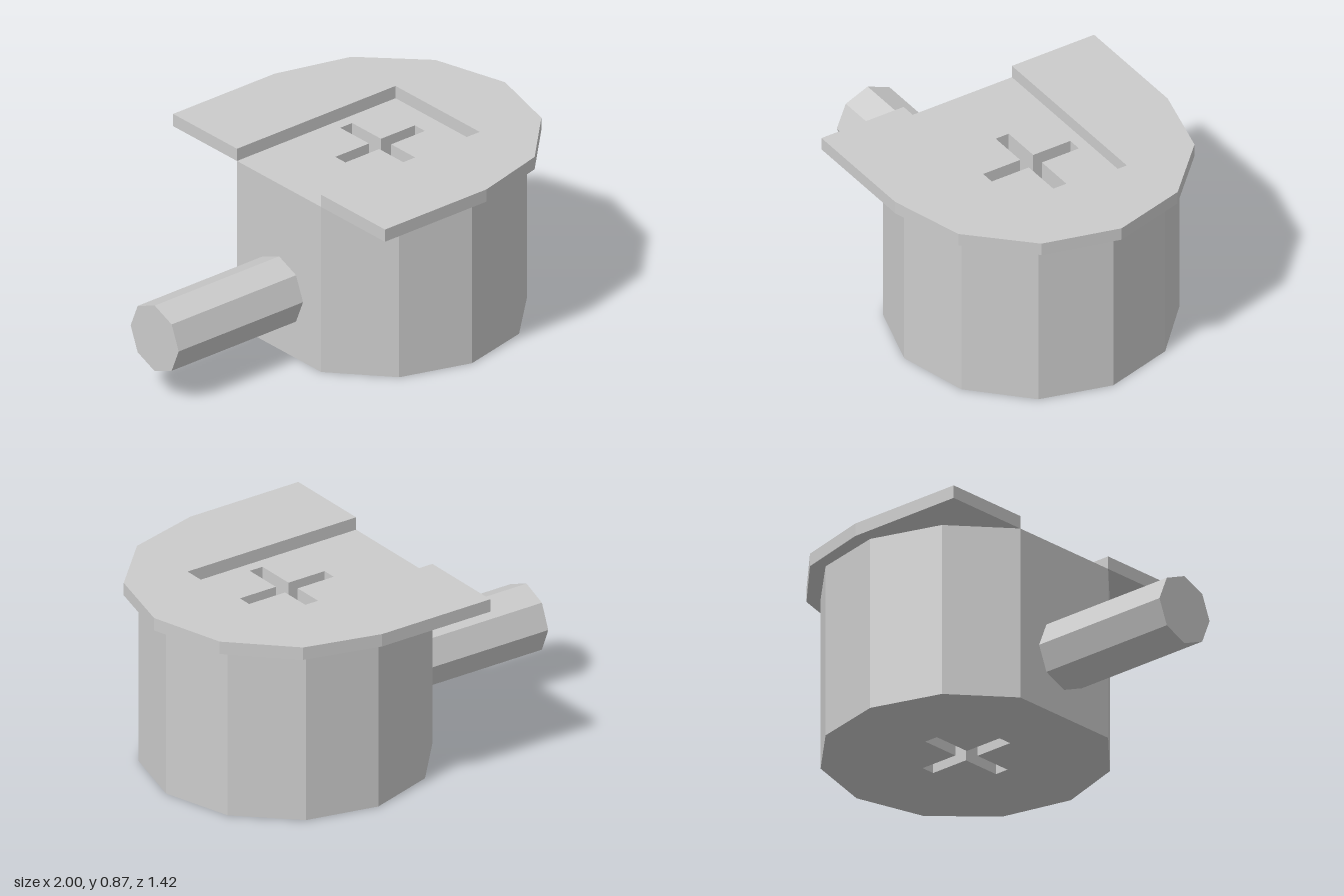
import * as THREE from 'three';

const CX = 0.29;      // centre of the round parts
const FLAT = -0.29;   // x of the flat side
const BODY_H = 0.81;
const PLATE_H = 0.06;

const material = new THREE.MeshStandardMaterial({ color: 0xcccccc, flatShading: true });

// Points on an arc around the body axis, from -half to +half
function arc(radius, half, segments) {
  return Array.from({ length: segments + 1 }, (_, i) => {
    const a = -half + (2 * half * i) / segments;
    return new THREE.Vector2(CX + radius * Math.cos(a), radius * Math.sin(a));
  });
}

// Plan outline raised into a slab standing on y = base
function slab(name, shape, base, height) {
  const geometry = new THREE.ExtrudeGeometry(shape, { depth: height, bevelEnabled: false });
  geometry.rotateX(-Math.PI / 2).translate(0, base, 0);
  const mesh = new THREE.Mesh(geometry, material);
  mesh.name = name;
  return mesh;
}

// Plus-shaped hole, long arm l and half width w
function crossHole(l, w) {
  const points = [];
  for (let i = 0; i < 4; i++) {
    for (const [x, y] of [[l, -w], [l, w], [w, w]]) {
      points.push(new THREE.Vector2(x, y)
        .rotateAround(new THREE.Vector2(), (i * Math.PI) / 2)
        .add(new THREE.Vector2(CX - 0.003, 0)));
    }
  }
  return new THREE.Path(points);
}

export function createModel() {
  const group = new THREE.Group();
  group.name = 'knob';

  // Faceted drum cut off by the flat side, pierced by the cross slot
  const r = 0.645;
  const drum = new THREE.Shape(arc(r, Math.acos((FLAT - CX) / r), 10));
  drum.holes.push(crossHole(0.227, 0.034));
  group.add(slab('body', drum, 0, BODY_H));

  // D-shaped rim plate with a rectangular channel open to the flat side
  const channelZ = 0.282, channelX = 0.615;
  const rim = new THREE.Shape([
    new THREE.Vector2(FLAT, -0.71),
    ...arc(0.71, Math.PI / 2, 6),
    new THREE.Vector2(FLAT, 0.71),
    new THREE.Vector2(FLAT, channelZ),
    new THREE.Vector2(channelX, channelZ),
    new THREE.Vector2(channelX, -channelZ),
    new THREE.Vector2(FLAT, -channelZ),
  ]);
  group.add(slab('rimPlate', rim, BODY_H, PLATE_H));

  // Octagonal peg sticking out of the flat side
  const pegLength = FLAT + 1;
  const peg = new THREE.Mesh(new THREE.CylinderGeometry(0.161, 0.161, pegLength, 8), material);
  peg.name = 'peg';
  peg.rotation.z = Math.PI / 2;
  peg.position.set(-1 + pegLength / 2, 0.294, 0);
  group.add(peg);

  return group;
}
